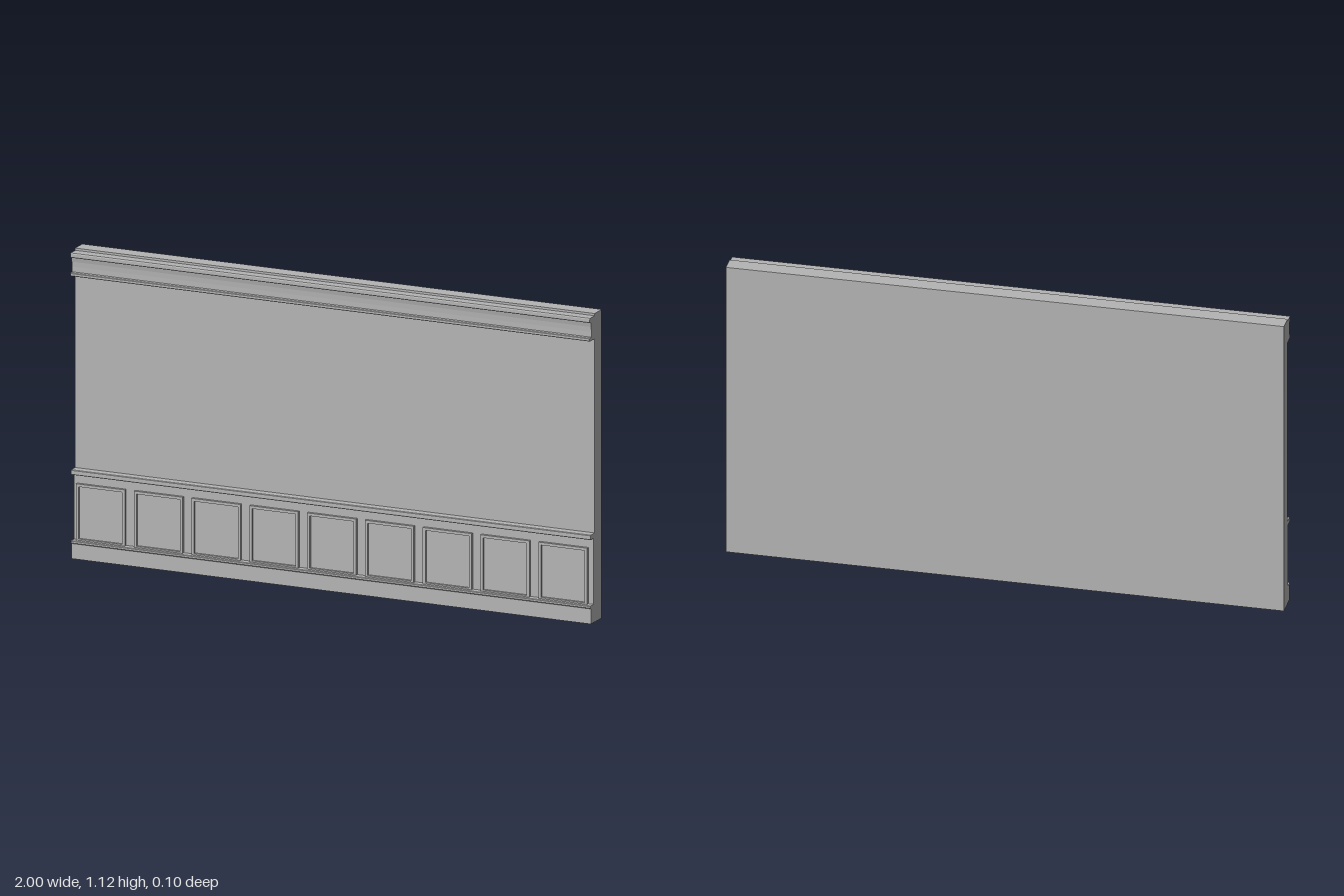
import * as THREE from 'three';

const LENGTH = 2;

export function createModel() {
  const group = new THREE.Group();
  group.name = 'panelledWall';
  const plaster = new THREE.MeshStandardMaterial({ color: 0xb4b4b4 });
  plaster.name = 'grey plaster';

  const add = (name, geometry, parent = group) => {
    const mesh = new THREE.Mesh(geometry, plaster);
    mesh.name = name;
    parent.add(mesh);
    return mesh;
  };

  // Sweep a (z, y) profile along the whole length of the wall
  const sweep = (name, points) => {
    const shape = new THREE.Shape(points.map(([z, y]) => new THREE.Vector2(z, y)));
    const geometry = new THREE.ExtrudeGeometry(shape, { depth: LENGTH, bevelEnabled: false });
    geometry.translate(0, 0, -LENGTH / 2).rotateY(-Math.PI / 2);
    return add(name, geometry);
  };

  // Main slab and the thin backing of the wainscot
  sweep('wall', [[-0.048, 0], [0.011, 0], [0.011, 1.12], [-0.048, 1.12]]);
  sweep('wainscotBacking', [[0.01, 0.002], [0.019, 0.002], [0.019, 0.31], [0.01, 0.31]]);

  // Baseboard with a small lip along its top
  sweep('baseboard', [
    [0.01, 0.001], [0.042, 0.001], [0.042, 0.056], [0.045, 0.059],
    [0.045, 0.065], [0.043, 0.067], [0.01, 0.067],
  ]);

  // Chair rail
  sweep('chairRail', [
    [0.01, 0.306], [0.043, 0.306], [0.045, 0.308], [0.045, 0.322], [0.043, 0.324], [0.01, 0.324],
  ]);

  // Crown moulding: lower lip, hollow face and upper lip
  sweep('crownMoulding', [
    [0.01, 1.028], [0.049, 1.028], [0.051, 1.03], [0.051, 1.038], [0.049, 1.04],
    [0.038, 1.041], [0.038, 1.06], [0.039, 1.078], [0.042, 1.094],
    [0.049, 1.095], [0.051, 1.097], [0.051, 1.109], [0.049, 1.112], [0.01, 1.112],
  ]);

  // Raised rectangular frames, evenly spaced
  const rect = (path, w, h) => {
    path.moveTo(-w / 2, -h / 2);
    path.lineTo(w / 2, -h / 2);
    path.lineTo(w / 2, h / 2);
    path.lineTo(-w / 2, h / 2);
    path.closePath();
    return path;
  };
  const bottom = 0.062, top = 0.271, width = 0.188, strip = 0.01;
  const height = top - bottom;
  const frameShape = rect(new THREE.Shape(), width, height);
  frameShape.holes.push(rect(new THREE.Path(), width - 2 * strip, height - 2 * strip));
  const frameGeometry = new THREE.ExtrudeGeometry(frameShape, { depth: 0.012, bevelEnabled: false });
  const fieldGeometry = new THREE.BoxGeometry(width - 2 * strip, height - 2 * strip, 0.004);

  const panels = new THREE.Group();
  panels.name = 'wainscotPanels';
  group.add(panels);
  for (let i = 0; i < 9; i++) {
    const panel = new THREE.Group();
    panel.name = `panel${i + 1}`;
    panel.position.set(-0.004 + (i - 4) * 0.2225, (bottom + top) / 2, 0.018);
    add('panelFrame', frameGeometry, panel);
    add('panelField', fieldGeometry, panel).position.z = 0.001;
    panels.add(panel);
  }
  return group;
}
